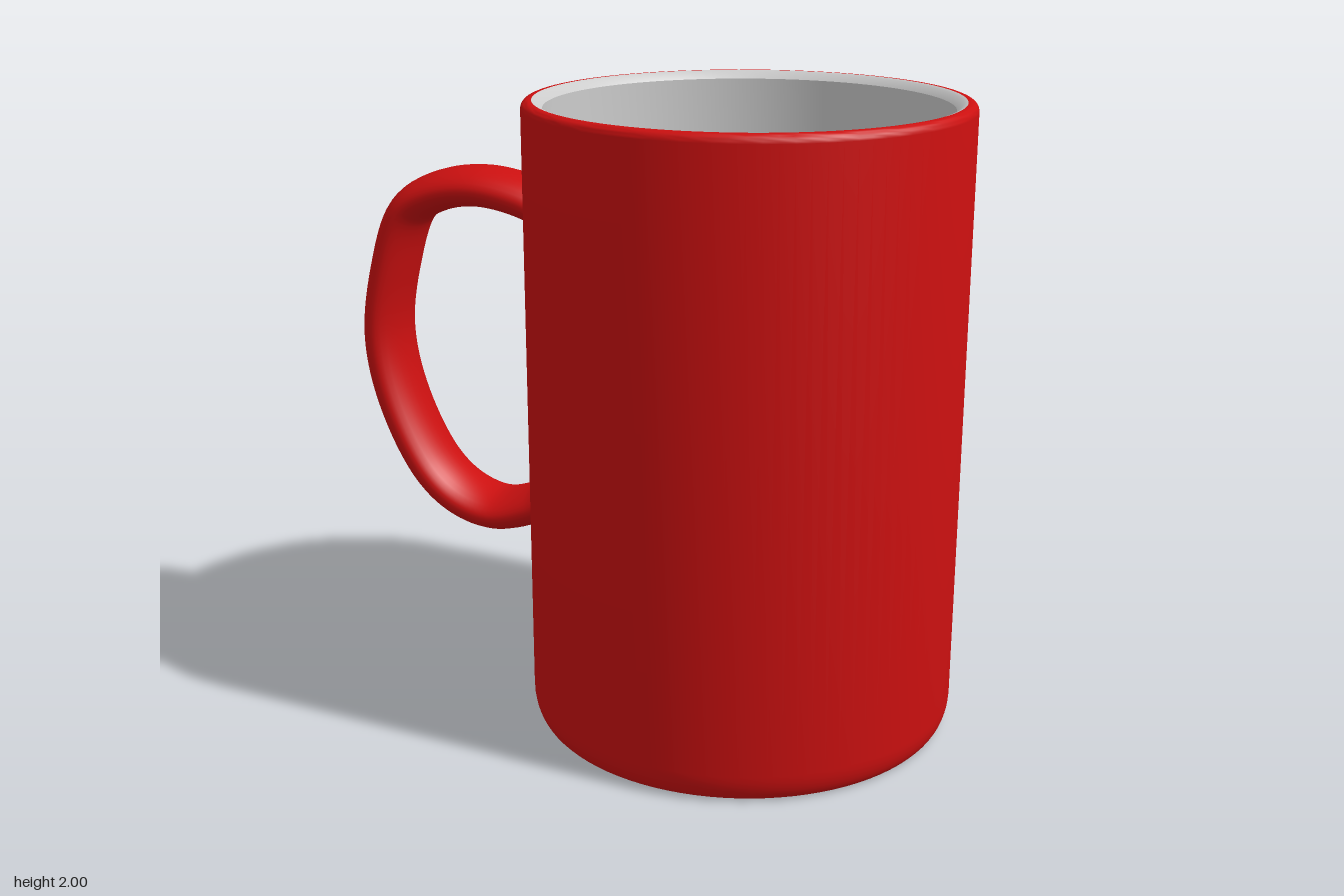
import * as THREE from 'three';
import { toCreasedNormals } from 'three/addons/utils/BufferGeometryUtils.js';

const RED = new THREE.MeshStandardMaterial({ color: 0xcc1010 });
const GREY = new THREE.MeshStandardMaterial({ color: 0xcccccc });
const CUP_Z = 0.294; // axis of the cup

// Points of a quarter-round from angle a to b (degrees), with radii rx, ry
function arc(cx, cy, rx, ry, a, b, n = 6) {
  return Array.from({ length: n + 1 }, (_, i) => {
    const t = THREE.MathUtils.degToRad(a + ((b - a) * i) / n);
    return [cx + rx * Math.cos(t), cy + ry * Math.sin(t)];
  });
}

function turned(name, profile, material) {
  const points = profile.map(([r, y]) => new THREE.Vector2(r, y));
  const geometry = toCreasedNormals(new THREE.LatheGeometry(points, 96), 0.6);
  const mesh = new THREE.Mesh(geometry, material);
  mesh.name = name;
  mesh.position.z = CUP_Z;
  return mesh;
}

export function createModel() {
  const mug = new THREE.Group();
  mug.name = 'mug';

  // Outer shell: flat base, softened foot, straight wall, rounded top edge
  mug.add(turned('outerShell', [
    [0, 0],
    [0.648, 0],
    ...arc(0.645, 0.09, 0.04, 0.09, -70, 0),
    ...arc(0.66, 1.975, 0.025, 0.025, 0, 90),
    [0.652, 2],
  ], RED));

  // Lining: sloped lip, inner wall, filleted floor
  mug.add(turned('innerLining', [
    [0.652, 2],
    [0.64, 1.996],
    [0.62, 1.975],
    ...arc(0.585, 0.125, 0.035, 0.035, 0, -90),
    [0, 0.09],
  ], GREY));

  // Handle: round tube along a planar curve, widened sideways to an oval
  const path = new THREE.CatmullRomCurve3([
    [0.645, 1.61], [0.72, 1.645], [0.89, 1.675], [1.04, 1.65], [1.145, 1.585],
    [1.223, 1.38], [1.256, 1.15], [1.212, 0.925], [1.098, 0.7],
    [0.99, 0.607], [0.86, 0.572], [0.72, 0.61], [0.645, 0.655],
  ].map(([r, y]) => new THREE.Vector3(0, y, -r)));
  const handle = new THREE.Mesh(new THREE.TubeGeometry(path, 96, 0.065, 28), RED);
  handle.name = 'handle';
  handle.scale.x = 2;
  handle.rotation.y = 0.297;
  handle.position.z = CUP_Z;
  mug.add(handle);

  return mug;
}
